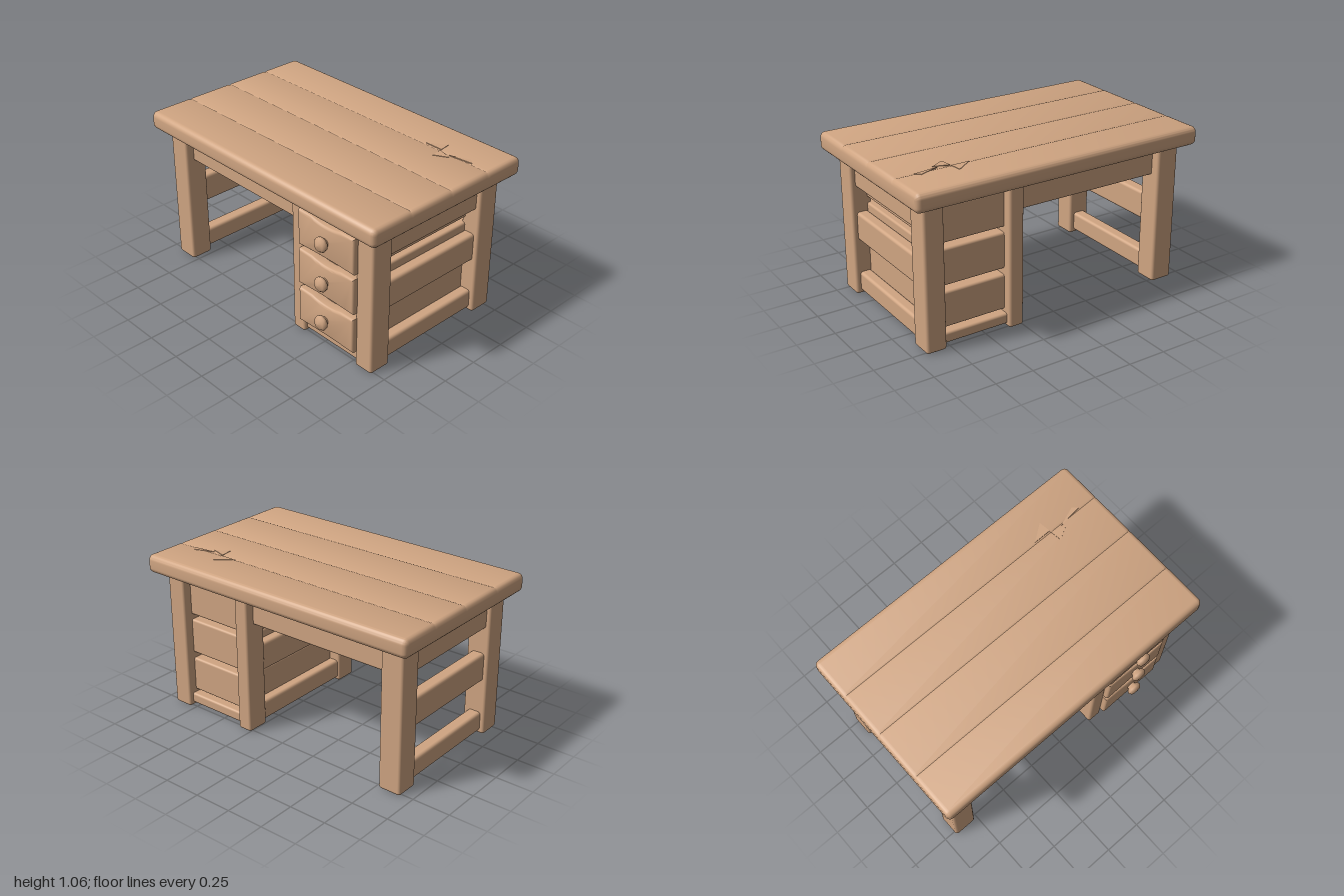
import * as THREE from 'three';
import { RoundedBoxGeometry } from 'three/addons/geometries/RoundedBoxGeometry.js';
import { toCreasedNormals } from 'three/addons/utils/BufferGeometryUtils.js';

const wood = new THREE.MeshStandardMaterial({ color: 0xd0a582 });
wood.name = 'wood';

function add(parent, name, geometry) {
  const mesh = new THREE.Mesh(geometry, wood);
  mesh.name = name;
  parent.add(mesh);
  return mesh;
}

// Softened timber given by its extents
function beam(parent, name, [x0, x1], [y0, y1], [z0, z1], r = 0.015) {
  const geometry = new RoundedBoxGeometry(x1 - x0, y1 - y0, z1 - z0, 2, r);
  geometry.translate((x0 + x1) / 2, (y0 + y1) / 2, (z0 + z1) / 2);
  return add(parent, name, geometry);
}

// Worktop: rounded cross-section with shallow plank grooves, run along x
function worktopGeometry() {
  const back = 0.62, front = -0.615, low = 0.935, high = 1.055, r = 0.036;
  const s = new THREE.Shape();
  s.moveTo(front + r, low);
  s.lineTo(back - r, low);
  s.absarc(back - r, low + r, r, -Math.PI / 2, 0);
  s.absarc(back - r, high - r, r, 0, Math.PI / 2);
  for (const seam of [0.33, 0.02, -0.31]) {
    s.lineTo(seam + 0.015, high);
    s.lineTo(seam, high - 0.005);
    s.lineTo(seam - 0.015, high);
  }
  s.lineTo(front + r, high);
  s.absarc(front + r, high - r, r, Math.PI / 2, Math.PI);
  s.absarc(front + r, low + r, r, Math.PI, Math.PI * 1.5);
  const bevel = 0.03;
  const geometry = new THREE.ExtrudeGeometry(s, {
    depth: 2 - 2 * bevel, bevelThickness: bevel, bevelSize: bevel,
    bevelOffset: -bevel, bevelSegments: 3, curveSegments: 4,
  });
  geometry.translate(0, 0, bevel - 1).rotateY(Math.PI / 2);
  return toCreasedNormals(geometry, 0.6);
}

// Drawer front with a gently sagging upper edge
function drawerFrontGeometry(y0, y1) {
  const b = 0.016, x0 = 0.335 + b, x1 = 0.797 - b, mid = (x0 + x1) / 2;
  const s = new THREE.Shape();
  s.moveTo(x0, y0 + b);
  s.quadraticCurveTo(mid, y0 + b + 0.012, x1, y0 + b);
  s.lineTo(x1, y1 - b);
  s.lineTo(x1 - 0.09, y1 - b - 0.002);
  s.quadraticCurveTo(mid, y1 - b - 0.036, x0 + 0.09, y1 - b - 0.002);
  s.lineTo(x0, y1 - b);
  const geometry = new THREE.ExtrudeGeometry(s, {
    depth: 0.05, bevelThickness: b, bevelSize: b, bevelSegments: 3, curveSegments: 8,
  });
  geometry.translate(0, 0, 0.563 - 0.05 - b);
  return toCreasedNormals(geometry, 0.6);
}

// Turned knob pointing forward
function knobGeometry() {
  const profile = [[0.028, 0], [0.03, 0.015], [0.046, 0.024], [0.049, 0.042], [0.036, 0.058], [0, 0.064]]
    .map(([r, y]) => new THREE.Vector2(r, y));
  return new THREE.LatheGeometry(profile, 10).rotateX(Math.PI / 2);
}

export function createModel() {
  const desk = new THREE.Group();
  desk.name = 'writingDesk';

  add(desk, 'worktop', worktopGeometry());

  // Raised splinters along one plank seam
  const splinters = new THREE.Group();
  splinters.name = 'splinters';
  desk.add(splinters);
  for (const tri of [
    [0.5, -0.34, 0.62, -0.34, 0.61, -0.42],
    [0.63, -0.25, 0.72, -0.3, 0.62, -0.33],
    [0.7, -0.32, 0.86, -0.34, 0.83, -0.37],
  ]) {
    const s = new THREE.Shape();
    s.moveTo(tri[0], -tri[1]);
    s.lineTo(tri[2], -tri[3]);
    s.lineTo(tri[4], -tri[5]);
    const geometry = new THREE.ExtrudeGeometry(s, { depth: 0.006, bevelEnabled: false });
    add(splinters, 'splinter', geometry.rotateX(-Math.PI / 2).translate(0, 1.052, 0));
  }

  // Legs, in front and back pairs
  const legHeight = [0, 0.95];
  for (const [end, z] of [['Front', [0.375, 0.527]], ['Back', [-0.53, -0.375]]]) {
    beam(desk, `right${end}Leg`, [-0.925, -0.77], legHeight, z, 0.018);
    beam(desk, `inner${end}Leg`, [0.243, 0.345], legHeight, z, 0.018);
    beam(desk, `left${end}Leg`, [0.782, 0.917], legHeight, z, 0.018);
  }

  // Apron box over the kneehole
  beam(desk, 'apron', [-0.84, 0.3], [0.735, 0.95], [-0.47, 0.47]);

  // Three side rails between each pair of legs
  const railHeights = { top: [0.735, 0.95], middle: [0.375, 0.565], bottom: [0.02, 0.152] };
  const railSides = { right: [-0.895, -0.805], inner: [0.258, 0.335], left: [0.805, 0.885] };
  for (const [side, x] of Object.entries(railSides)) {
    for (const [level, y] of Object.entries(railHeights)) {
      beam(desk, `${side}${level}Rail`, x, y, [-0.4, 0.4], 0.02);
    }
  }

  // Cabinet floor with front and back sills
  beam(desk, 'cabinetFloor', [0.29, 0.86], [0.02, 0.06], [-0.47, 0.47], 0.01);
  beam(desk, 'frontSill', [0.32, 0.81], [0.02, 0.09], [0.42, 0.505]);
  beam(desk, 'backSill', [0.32, 0.81], [0.02, 0.09], [-0.5, -0.42]);

  // Drawers: box, front and knob
  for (const [y0, y1, knobY] of [[0.652, 0.89, 0.768], [0.38, 0.622, 0.496], [0.107, 0.345, 0.222]]) {
    const drawer = new THREE.Group();
    drawer.name = 'drawer';
    desk.add(drawer);
    beam(drawer, 'drawerBox', [0.325, 0.81], [y0, y1 - 0.005], [-0.47, 0.5]);
    add(drawer, 'drawerFront', drawerFrontGeometry(y0, y1));
    add(drawer, 'knob', knobGeometry()).position.set(0.566, knobY, 0.558);
  }

  // Short runners showing in the gaps between drawers
  for (const y of [0.362, 0.637]) {
    beam(desk, 'drawerRunner', [0.33, 0.5], [y - 0.025, y + 0.025], [-0.3, 0.44], 0.01);
  }
  beam(desk, 'cabinetHeader', [0.32, 0.81], [0.88, 0.95], [-0.46, 0.46], 0.01);

  return desk;
}
